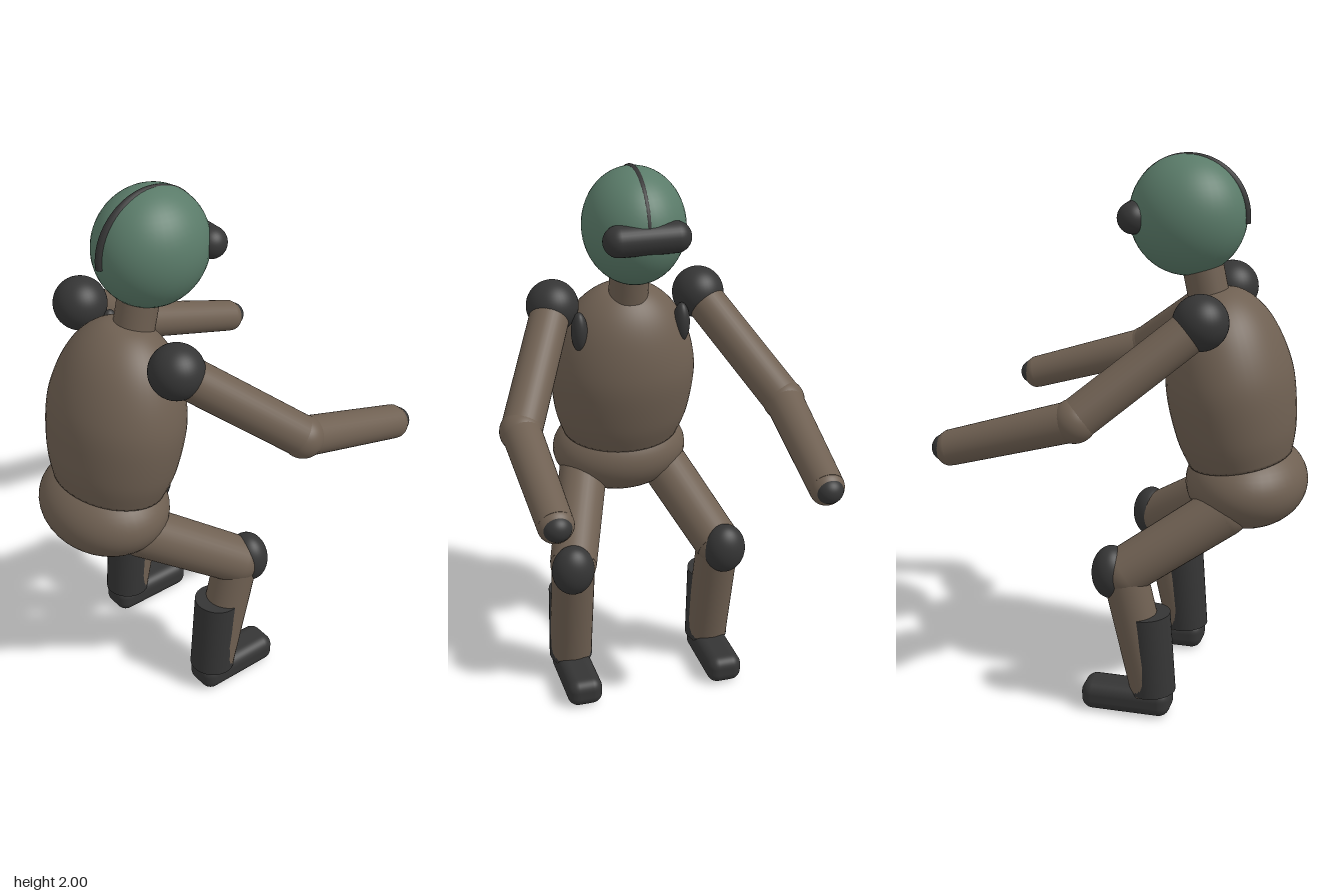
import * as THREE from 'three';
import { RoundedBoxGeometry } from 'three/addons/geometries/RoundedBoxGeometry.js';

const mat = (name, color) => {
  const m = new THREE.MeshStandardMaterial({ color });
  m.name = name;
  return m;
};

export function createModel() {
  const suit = mat('brown suit', 0x6f6052);
  const helmetGreen = mat('green helmet', 0x5a7b69);
  const dark = mat('dark gear', 0x353535);
  const model = new THREE.Group();
  model.name = 'crouchingFigure';

  const add = (name, geometry, material, pos, parent = model) => {
    const mesh = new THREE.Mesh(geometry, material);
    mesh.name = name;
    mesh.position.set(...pos);
    parent.add(mesh);
    return mesh;
  };
  const ellipsoid = (name, material, pos, radii, parent) => {
    const mesh = add(name, new THREE.SphereGeometry(1, 40, 28), material, pos, parent);
    mesh.scale.set(...radii);
    return mesh;
  };
  // Tapered cylinder running from point a to point b
  const rod = (name, material, a, b, ra, rb, parent) => {
    const from = new THREE.Vector3(...a);
    const to = new THREE.Vector3(...b);
    const dir = to.clone().sub(from);
    const mid = from.clone().add(to).multiplyScalar(0.5);
    const geometry = new THREE.CylinderGeometry(rb, ra, dir.length(), 32);
    const mesh = add(name, geometry, material, mid.toArray(), parent);
    mesh.quaternion.setFromUnitVectors(new THREE.Vector3(0, 1, 0), dir.normalize());
    return mesh;
  };

  // Torso: egg-shaped lathe leaning forward, flattened front to back
  const outline = new THREE.SplineCurve([
    [0.225, 0], [0.258, 0.1], [0.275, 0.25], [0.262, 0.36], [0.222, 0.47],
    [0.165, 0.55], [0.09, 0.602], [0, 0.618],
  ].map(([r, y]) => new THREE.Vector2(r, y)));
  const profile = [new THREE.Vector2(0, 0), ...outline.getPoints(40)];
  profile.forEach((p) => { p.x = Math.max(p.x, 0); });
  const torso = add('torso', new THREE.LatheGeometry(profile, 48), suit, [-0.375, 0.925, 0]);
  torso.scale.x = 0.83;
  torso.rotation.z = -0.157;
  ellipsoid('pelvis', suit, [-0.4, 0.835, 0], [0.22, 0.165, 0.262]);

  // Head, helmet crest and goggles
  rod('neck', suit, [-0.25, 1.5, 0], [-0.22, 1.64, 0], 0.073, 0.073);
  ellipsoid('helmet', helmetGreen, [-0.172, 1.786, 0], [0.207, 0.21, 0.185]);
  const crest = add('helmetCrest', new THREE.TorusGeometry(0.199, 0.015, 12, 48, Math.PI), dark, [-0.178, 1.786, 0]);
  crest.rotation.z = 0.1;
  const goggles = add('goggles', new THREE.CapsuleGeometry(0.056, 0.204, 12, 32), dark, [-0.002, 1.785, 0]);
  goggles.rotation.x = Math.PI / 2;

  // Limbs, mirrored across the body
  for (const s of [1, -1]) {
    const side = s > 0 ? 'left' : 'right';

    const arm = new THREE.Group();
    arm.name = side + 'Arm';
    model.add(arm);
    const shoulder = [-0.28, 1.478, 0.278 * s];
    const elbow = [0.1, 1.17, 0.485 * s];
    const wrist = [0.55, 1.032, 0.472 * s];
    ellipsoid('shoulderPad', dark, shoulder, [0.096, 0.096, 0.096], arm);
    rod('upperArm', suit, shoulder, elbow, 0.073, 0.073, arm);
    ellipsoid('elbow', suit, elbow, [0.076, 0.076, 0.076], arm);
    rod('forearm', suit, elbow, wrist, 0.07, 0.062, arm);
    ellipsoid('wrist', suit, wrist, [0.05, 0.062, 0.062], arm);
    ellipsoid('hand', dark, [0.568, 1.032, 0.472 * s], [0.047, 0.047, 0.05], arm);
    ellipsoid('armpitPatch', dark, [-0.215, 1.39, 0.195 * s], [0.036, 0.075, 0.03], arm);

    const leg = new THREE.Group();
    leg.name = side + 'Leg';
    model.add(leg);
    const hip = [-0.345, 0.765, 0.16 * s];
    const knee = [-0.015, 0.55, 0.285 * s];
    const ankle = [-0.12, 0.09, 0.28 * s];
    ellipsoid('hip', suit, hip, [0.093, 0.093, 0.093], leg);
    rod('thigh', suit, hip, knee, 0.093, 0.088, leg);
    ellipsoid('knee', suit, knee, [0.087, 0.087, 0.087], leg);
    ellipsoid('kneePad', dark, [0.03, 0.548, 0.297 * s], [0.069, 0.097, 0.08], leg);
    rod('shin', suit, knee, ankle, 0.081, 0.081, leg);
    rod('bootShaft', dark, [-0.1, 0.395, 0.28 * s], [-0.121, 0.088, 0.28 * s], 0.083, 0.083, leg);
    add('bootFoot', new RoundedBoxGeometry(0.33, 0.108, 0.135, 5, 0.042), dark, [-0.025, 0.054, 0.28 * s], leg);
  }
  return model;
}
